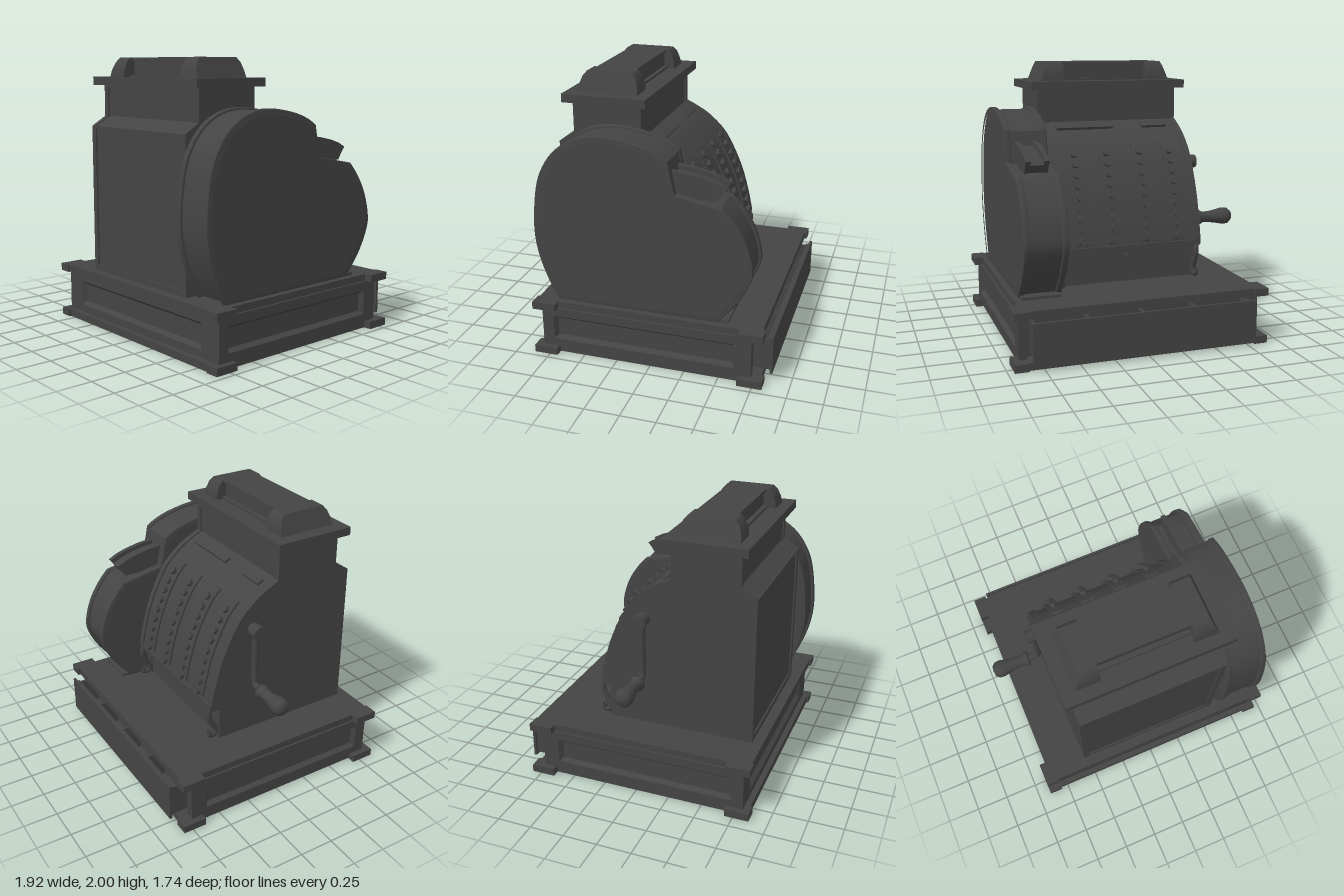
import * as THREE from 'three';
import { toCreasedNormals } from 'three/addons/utils/BufferGeometryUtils.js';

const mat = new THREE.MeshStandardMaterial({ color: 0x444444 });
const thin = new THREE.MeshStandardMaterial({ color: 0x444444, side: THREE.DoubleSide });

export function createModel() {
  const model = new THREE.Group();
  const add = (name, geo, m = mat) => {
    const mesh = new THREE.Mesh(geo, m);
    mesh.name = name;
    model.add(mesh);
    return mesh;
  };
  // box from its limits
  const box = (name, x0, x1, y0, y1, z0, z1) =>
    add(name, new THREE.BoxGeometry(x1 - x0, y1 - y0, z1 - z0).translate((x0 + x1) / 2, (y0 + y1) / 2, (z0 + z1) / 2));
  const loop = (pts, s) => pts.map(([a, b]) => new THREE.Vector2(s * a, b));
  // profile of [z, y] points extruded from x0 to x1
  const sideGeo = (pts, x0, x1, hole, bevel = 0) => {
    const shape = new THREE.Shape(loop(pts, -1));
    if (hole) shape.holes.push(new THREE.Path(loop(hole, -1)));
    const g = new THREE.ExtrudeGeometry(shape, {
      depth: x1 - x0 - 2 * bevel, bevelEnabled: bevel > 0, bevelThickness: bevel,
      bevelSize: bevel, bevelOffset: -bevel, bevelSegments: 3,
    });
    g.translate(0, 0, x0 + bevel).rotateY(Math.PI / 2);
    return toCreasedNormals(g, 0.5);
  };
  // outline of [x, z] points extruded from y0 to y1
  const flatGeo = (pts, y0, y1, hole) => {
    const shape = new THREE.Shape(pts.map(([x, z]) => new THREE.Vector2(x, -z)));
    if (hole) shape.holes.push(new THREE.Path(hole.map(([x, z]) => new THREE.Vector2(x, -z))));
    return new THREE.ExtrudeGeometry(shape, { depth: y1 - y0, bevelEnabled: false })
      .rotateX(-Math.PI / 2).translate(0, y0, 0);
  };
  const rect = (x0, x1, y0, y1) => [[x0, y0], [x1, y0], [x1, y1], [x0, y1]];
  // upright panel in local xy, with a sunken centre and sloping margins
  const sunkenPanel = (name, outer, inner, depth, slope) => {
    const g = new THREE.Group();
    g.name = name;
    const [x0, x1, y0, y1] = inner;
    const s = new THREE.Shape(loop(rect(...outer), 1));
    s.holes.push(new THREE.Path(loop(rect(...inner), 1)));
    g.add(new THREE.Mesh(new THREE.ExtrudeGeometry(s, { depth, bevelEnabled: false }).translate(0, 0, -depth), mat));
    const a = rect(...inner), b = rect(x0 + slope, x1 - slope, y0 + slope, y1 - slope), v = [];
    for (let i = 0; i < 4; i++) {
      const j = (i + 1) % 4;
      const q = [[...a[i], 0], [...a[j], 0], [...b[j], -depth], [...b[i], -depth]];
      for (const k of [0, 1, 2, 0, 2, 3]) v.push(...q[k]);
    }
    const ring = new THREE.BufferGeometry();
    ring.setAttribute('position', new THREE.Float32BufferAttribute(v, 3));
    ring.computeVertexNormals();
    g.add(new THREE.Mesh(ring, thin));
    model.add(g);
    return g;
  };

  // base: notched plates with corner blocks, panelled walls
  const L = -0.905, R = 0.955, B = -0.82, F = 0.865, n = 0.1, d = 0.175;
  const plate = [
    [L, B], [L + n, B], [L + n, B + 0.02], [R - n, B + 0.02], [R - n, B], [R, B],
    [R, B + d], [R - 0.06, B + d], [R - 0.06, F - d], [R, F - d], [R, F], [R - n, F],
    [R - n, F - 0.015], [L + n, F - 0.015], [L + n, F], [L, F], [L, F - d], [L + 0.06, F - d],
    [L + 0.06, B + d], [L, B + d],
  ];
  add('baseTopPlate', flatGeo(plate, 0.355, 0.41));
  add('baseBottomPlate', flatGeo(plate, 0, 0.055, rect(-0.62, 0.67, -0.53, 0.58)));
  box('baseCore', -0.83, 0.88, 0.04, 0.36, -0.68, 0.78);
  sunkenPanel('baseFrontPanel', [-0.86, 0.91, 0.05, 0.36], [-0.7, 0.735, 0.11, 0.295], 0.03, 0.025).position.z = 0.81;
  for (const s of [-1, 1]) {
    const p = sunkenPanel('baseSidePanel', [-0.755, 0.755, 0.05, 0.36], [-0.67, 0.67, 0.11, 0.295], 0.03, 0.025);
    p.rotation.y = s * Math.PI / 2;
    p.position.set(s > 0 ? 0.91 : -0.86, 0, 0.055);
    const x = s > 0 ? 0.85 : -0.86;
    box('backCornerPost', x, x + 0.06, 0.05, 0.36, -0.735, -0.67);
  }

  // cash drawer, slightly open
  box('drawerFront', -0.79, 0.84, 0.065, 0.345, -0.87, -0.85);
  box('drawerFloor', -0.77, 0.82, 0.085, 0.105, -0.85, -0.65);
  for (const x of [-0.77, -0.37, 0.02, 0.42, 0.8]) box('drawerDivider', x, x + 0.02, 0.1, 0.315, -0.85, -0.65);
  box('drawerInnerFront', -0.77, 0.82, 0.1, 0.325, -0.85, -0.825);

  // cabinet: side plates around a slightly smaller core
  const keyCurve = new THREE.SplineCurve(loop([
    [0.16, 1.56], [0.06, 1.51], [-0.04, 1.445], [-0.17, 1.31], [-0.29, 1.07], [-0.355, 0.86], [-0.39, 0.7]], 1));
  const curvePts = keyCurve.getPoints(28).map(p => [p.x, p.y]);
  const cabinet = inset => [
    [-0.32 + inset, 0.41], [0.775 - inset, 0.41], [0.775 - inset, 1.5], [0.66 - inset, 1.57], [0.66 - inset, 1.8],
    [0.16 + inset, 1.8], ...curvePts.map(([z, y]) => [z + inset, y - inset * 0.5]), [-0.385 + inset, 0.66], [-0.32 + inset, 0.65],
  ];
  add('cabinetCore', sideGeo(cabinet(0.012), -0.53, 0.51));
  for (const x of [-0.56, 0.495]) add('cabinetSide', sideGeo(cabinet(0), x, x + 0.045));
  box('frontBottomRail', -0.53, 0.51, 0.41, 0.45, 0.7, 0.775);
  box('frontTopRail', -0.53, 0.51, 1.485, 1.5, 0.7, 0.775);
  box('towerFrontRail', -0.53, 0.51, 1.78, 1.8, 0.6, 0.66);
  box('towerBackRail', -0.53, 0.51, 1.75, 1.8, 0.16, 0.25);

  // cornice and crown
  box('cornice', -0.62, 0.595, 1.8, 1.86, 0.11, 0.72);
  box('crownCentre', -0.35, 0.33, 1.86, 1.985, 0.28, 0.54);
  box('crownCentreTop', -0.35, 0.33, 1.98, 2, 0.265, 0.56);
  box('crownCentreFoot', -0.35, 0.33, 1.86, 1.878, 0.25, 0.575);
  const crownEnd = [[0.635, 1.86], [0.63, 1.91], [0.61, 1.965], [0.58, 2], [0.25, 2], [0.22, 1.965], [0.205, 1.91], [0.2, 1.86]];
  for (const s of [-1, 1]) {
    const g = s < 0 ? sideGeo(crownEnd, -0.52, -0.34) : sideGeo(crownEnd, 0.32, 0.5);
    const p = g.attributes.position;
    for (let i = 0; i < p.count; i++) {
      const x = p.getX(i);
      if (Math.abs(x + 0.01) > 0.45) p.setX(i, x - s * 0.05 * (p.getY(i) - 1.86) / 0.14);
    }
    g.computeVertexNormals();
    add('crownEnd', toCreasedNormals(g, 0.5));
  }

  // key columns following the curved keyboard
  for (const x of [-0.385, -0.145, 0.11, 0.355]) {
    const strip = curvePts.slice(11, 28);
    add('keyStrip', sideGeo([...strip.map(([z, y]) => [z - 0.001, y + 0.001]),
      ...strip.slice().reverse().map(([z, y]) => [z + 0.03, y - 0.02])], x - 0.045, x + 0.045));
    for (let i = 0; i < 9; i++) {
      const t = 0.36 + i * 0.0745;
      const p = keyCurve.getPointAt(t), q = keyCurve.getTangentAt(t);
      const key = add('key', new THREE.CylinderGeometry(0.028, 0.028, 0.022, 14).translate(0, 0.028, 0));
      const stem = new THREE.Mesh(new THREE.CylinderGeometry(0.016, 0.016, 0.04, 10), mat);
      stem.name = 'keyStem';
      key.add(stem);
      key.position.set(x, p.y, p.x);
      key.quaternion.setFromUnitVectors(new THREE.Vector3(0, 1, 0), new THREE.Vector3(0, -q.x, q.y).normalize());
    }
  }
  // window bars above the keys
  for (const [x0, x1] of [[-0.45, -0.25], [-0.02, 0.42]]) {
    const m = box('windowBar', x0, x1, -0.012, 0.012, -0.025, 0.025);
    m.position.set(0, 1.52, 0.085);
    m.rotation.x = -0.5;
  }
  // lip under the keyboard, lock and scrolled brackets
  box('keyboardLip', -0.55, 0.53, 0.665, 0.7, -0.395, -0.3);
  add('lock', new THREE.CylinderGeometry(0.025, 0.025, 0.03, 16).rotateX(Math.PI / 2).translate(-0.01, 0.6, -0.315));
  for (const x of [-0.525, 0.505]) {
    const path = new THREE.CatmullRomCurve3([[-0.33, 0.655], [-0.38, 0.66], [-0.39, 0.6], [-0.36, 0.53], [-0.335, 0.475],
      [-0.35, 0.435], [-0.385, 0.44], [-0.385, 0.475]].map(([z, y]) => new THREE.Vector3(x, y, z)));
    add('scrollBracket', new THREE.TubeGeometry(path, 40, 0.02, 8), thin);
  }

  // heart-shaped side drum with raised rims
  const arcA = new THREE.SplineCurve(loop([[0.7, 0.41], [0.77, 0.55], [0.835, 0.74], [0.86, 0.95], [0.83, 1.24],
    [0.77, 1.41], [0.66, 1.55], [0.5, 1.64], [0.31, 1.665], [0.1, 1.635], [-0.04, 1.59], [-0.127, 1.54]], 1)).getPoints(44);
  const arcB = new THREE.SplineCurve(loop([[-0.5, 1.25], [-0.58, 1.16], [-0.66, 1.03], [-0.71, 0.87],
    [-0.705, 0.75], [-0.62, 0.58], [-0.48, 0.41]], 1)).getPoints(28);
  const drum = [...arcA.map(p => [p.x, p.y]), [-0.175, 1.31], ...arcB.map(p => [p.x, p.y])];
  const shrink = (k, low) => drum.map(([z, y]) => [0.08 + (z - 0.08) * k, Math.max(low, 0.95 + (y - 0.95) * k)]);
  add('drumBody', sideGeo(shrink(0.975, 0.41), 0.555, 0.842));
  for (const x of [0.545, 0.813]) add('drumRim', sideGeo(drum, x, x + 0.042, shrink(0.955, 0.43), 0.008));
  box('drumFoot', 0.56, 0.845, 0.41, 0.43, -0.555, -0.46);

  // receipt chute on the drum's shoulder
  const chute = [[-0.13, 1.455], [-0.24, 1.445], [-0.36, 1.42], [-0.44, 1.395], [-0.508, 1.36],
    [-0.475, 1.32], [-0.445, 1.27], [-0.3, 1.27], [-0.16, 1.29]];
  for (const x of [0.62, 0.75]) add('chuteCheek', sideGeo(chute, x, x + 0.035));
  add('chuteBed', sideGeo(chute.map(([z, y]) => [z * 0.96, y > 1.3 ? y - 0.03 : y]), 0.65, 0.755));

  // crank: hub, arm, bent rod and turned grip
  const cz = -0.045;
  add('crankHub', new THREE.CylinderGeometry(0.05, 0.05, 0.1, 24).rotateZ(Math.PI / 2).translate(-0.6, 1.24, cz));
  const arm = new THREE.CatmullRomCurve3([[-0.592, 1.22], [-0.592, 1.0], [-0.592, 0.86], [-0.605, 0.805], [-0.65, 0.79],
    [-0.7, 0.79]].map(([x, y]) => new THREE.Vector3(x, y, cz)));
  add('crankArm', new THREE.TubeGeometry(arm, 40, 0.025, 12));
  const grip = [[0, 0], [0.055, 0], [0.058, 0.02], [0.042, 0.05], [0.043, 0.1], [0.055, 0.17], [0.066, 0.22],
    [0.062, 0.26], [0.04, 0.285], [0, 0.29]];
  add('crankGrip', new THREE.LatheGeometry(loop(grip, 1), 24).rotateZ(Math.PI / 2).translate(-0.675, 0.79, cz));

  return model;
}
